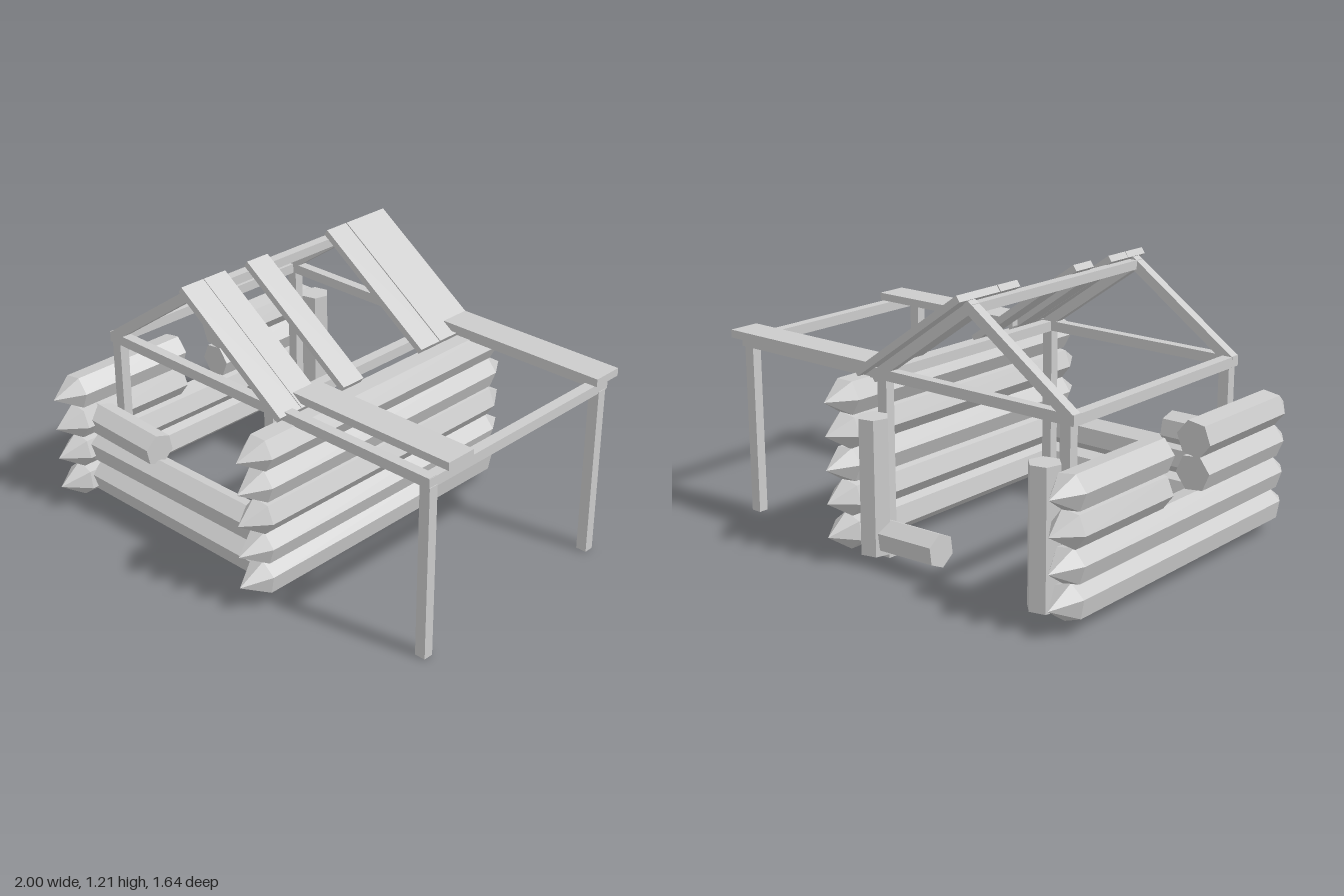
import * as THREE from 'three';

const material = new THREE.MeshStandardMaterial({ color: 0xcccccc, flatShading: true });
const UP = new THREE.Vector3(0, 1, 0);

export function createModel() {
  const model = new THREE.Group();

  const add = (name, geometry) => {
    const mesh = new THREE.Mesh(geometry, material);
    mesh.name = name;
    model.add(mesh);
    return mesh;
  };

  // Box given by its ranges along x, y and z
  const box = (name, [x0, x1], [y0, y1], [z0, z1]) =>
    add(name, new THREE.BoxGeometry(x1 - x0, y1 - y0, z1 - z0))
      .position.set((x0 + x1) / 2, (y0 + y1) / 2, (z0 + z1) / 2);

  // Six-sided log from a to b; a tip length above 0 sharpens that end
  const log = (name, a, b, r, turn = 0, tipA = 0, tipB = 0) => {
    const start = new THREE.Vector3(...a);
    const dir = new THREE.Vector3(...b).sub(start);
    const len = dir.length();
    const profile = [[0, 0], [r, tipA], [r * 0.98, len - tipB], [0, len]]
      .map(([x, y]) => new THREE.Vector2(x, y));
    const mesh = add(name, new THREE.LatheGeometry(profile, 6).rotateY(Math.PI / 6 + turn));
    mesh.position.copy(start);
    mesh.quaternion.setFromUnitVectors(UP, dir.normalize());
  };

  // Bar in the xy plane whose upper edge runs from a to b
  const slope = (name, a, b, thick, z0, z1) => {
    const dx = b[0] - a[0], dy = b[1] - a[1], len = Math.hypot(dx, dy);
    const geometry = new THREE.BoxGeometry(len, thick, z1 - z0).translate(len / 2, -thick / 2, 0);
    const mesh = add(name, geometry);
    mesh.position.set(a[0], a[1], (z0 + z1) / 2);
    mesh.rotation.z = Math.atan2(dy, dx);
  };

  // Side walls of sharpened logs; the upper left ones are broken in the middle
  const rows = [0.125, 0.272, 0.418, 0.563, 0.708];
  const turns = [0.35, 0.2, -0.12, 0.15, 0];
  const tip = 0.12;
  rows.forEach((y, i) => {
    log('rightWallLog', [0.243, y, -0.82], [0.243, y, 0.82], 0.082, turns[i], tip, tip);
    if (i < 2) {
      log('leftWallLog', [-0.918, y, -0.82], [-0.918, y, 0.82], 0.082, -turns[i], tip, tip);
    } else if (i < 4) {
      log('brokenLeftLogBack', [-0.918, y, -0.82], [-0.918, y, -0.13], 0.082, -turns[i], tip, 0);
      log('brokenLeftLogFront', [-0.918, y, 0.12], [-0.918, y, 0.82], 0.082, turns[i], 0, tip);
    }
  });

  // Front wall: two whole logs and a broken stub
  log('frontWallLog', [-0.86, 0.135, 0.61], [0.22, 0.125, 0.605], 0.078, 0.25);
  log('frontWallLog', [-0.86, 0.283, 0.61], [0.22, 0.283, 0.605], 0.078, 0.15);
  log('frontLogStub', [-0.88, 0.412, 0.6], [-0.47, 0.406, 0.61], 0.076, 0.2);

  // Back doorway: two upright logs and a low stub
  log('doorLog', [-0.775, 0.05, -0.665], [-0.775, 0.64, -0.665], 0.07, 0.25);
  log('doorLog', [0.12, 0.05, -0.665], [0.12, 0.64, -0.665], 0.07, 0.25);
  log('backLogStub', [0.1, 0.12, -0.635], [-0.22, 0.13, -0.635], 0.076, 0.1);

  // Frame: posts, long beams and gable rafters, front and back
  for (const [z0, z1] of [[0.49, 0.535], [-0.595, -0.55]]) {
    for (const x of [-0.815, 0.135, 0.965]) {
      const shift = x > 0.5 && z0 < 0 ? 0.02 : 0;
      box('post', [x - 0.025, x + 0.025], [0, 0.78], [z0 + shift, z1 + shift]);
    }
    box('longBeam', [-0.855, 0.985], [0.775, 0.82], [z0, z1]);
    slope('leftRafter', [-0.85, 0.82], [-0.33, 1.18], 0.045, z0, z1);
    slope('rightRafter', [-0.33, 1.17], [0.2, 0.795], 0.045, z0, z1);
  }

  // Cross beams and ridge
  for (const x of [-0.83, 0.138, 0.963]) {
    box('crossBeam', [x - 0.024, x + 0.024], [0.773, 0.818], [-0.585, 0.535]);
  }
  box('ridgeBeam', [-0.355, -0.31], [1.125, 1.165], [-0.59, 0.53]);

  // Remaining roof planks on the right slope
  for (const z of [-0.645, -0.525, -0.4, 0.085, 0.33, 0.453]) {
    slope('roofPlank', [-0.32, 1.205], [0.24, 0.81], 0.03, z, z + 0.12);
  }

  // Planks over the side shelter
  for (const z of [-0.57, 0.367]) {
    box('shelterPlank', [0.18, 1], [0.82, 0.855], [z - 0.073, z + 0.073]);
  }

  return model;
}
